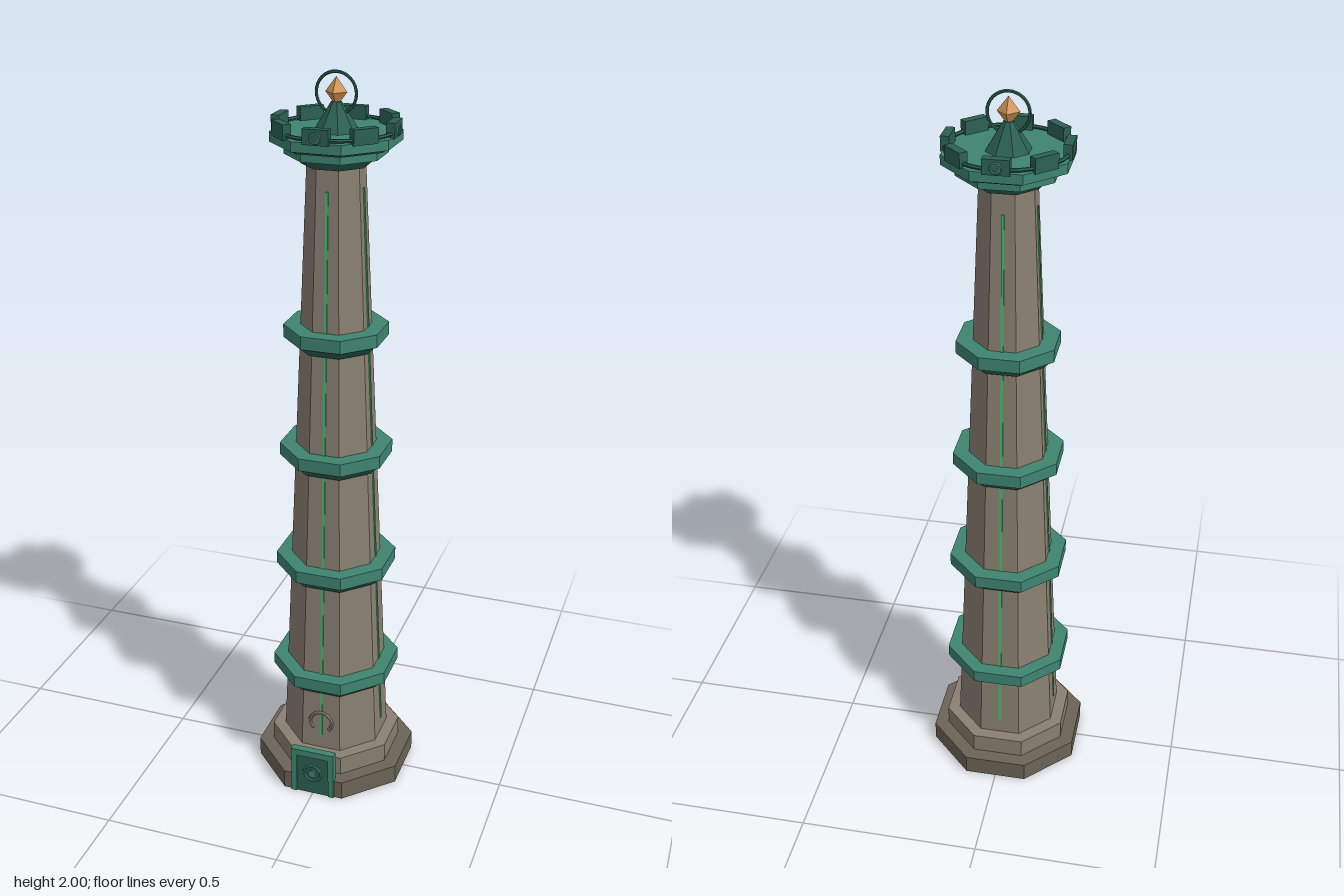
import * as THREE from 'three';

const mat = (color) => new THREE.MeshStandardMaterial({ color, flatShading: true });
const stone = mat(0x8a8072), darkStone = mat(0x6b6356), teal = mat(0x3f8570);
const darkTeal = mat(0x2c6152), copper = mat(0xd79a5c), glow = mat(0x3fb86c);

function add(parent, name, geometry, material, x = 0, y = 0, z = 0) {
  const mesh = new THREE.Mesh(geometry, material);
  mesh.name = name;
  mesh.position.set(x, y, z);
  parent.add(mesh);
  return mesh;
}

// Octagonal frustum with a flat side to the front; a0 and a1 are the centre-to-flat distances
function octagon(parent, name, material, y0, y1, a0, a1 = a0) {
  const k = 1 / Math.cos(Math.PI / 8);
  const g = new THREE.CylinderGeometry(a1 * k, a0 * k, y1 - y0, 8);
  g.rotateY(Math.PI / 8);
  return add(parent, name, g, material, 0, (y0 + y1) / 2, 0);
}

const shaftBottom = 0.11, shaftTop = 1.785;
const shaftRadius = (y) => THREE.MathUtils.mapLinear(y, shaftBottom, shaftTop, 0.138, 0.068);

export function createModel() {
  const model = new THREE.Group();
  model.name = 'tower';
  const tower = new THREE.Group();
  tower.name = 'towerBody';
  tower.position.z = -0.005;
  model.add(tower);

  // Stepped base and tapering shaft
  octagon(tower, 'basePlinth', darkStone, 0, 0.055, 0.209);
  octagon(tower, 'baseStep', stone, 0.055, 0.11, 0.171);
  octagon(tower, 'shaft', stone, shaftBottom, shaftTop, 0.138, 0.068);

  // Bands around the shaft, each with a sloped underside
  [[0.355, 0.165], [0.688, 0.153], [1.022, 0.14], [1.358, 0.127]].forEach(([top, a]) => {
    octagon(tower, 'band', teal, top - 0.035, top, a);
    octagon(tower, 'bandUnderside', darkTeal, top - 0.06, top - 0.035, a - 0.028, a - 0.006);
  });

  // Glowing inlay strips on the four main faces
  const y0 = 0.15, y1 = 1.72;
  const slope = Math.atan2(shaftRadius(y0) - shaftRadius(y1), y1 - y0);
  for (let i = 0; i < 4; i++) {
    const side = new THREE.Group();
    side.name = 'inlaySide';
    side.rotation.y = i * Math.PI / 2;
    const strip = add(side, 'inlayStrip', new THREE.BoxGeometry(0.007, y1 - y0, 0.006), glow,
      0, (y0 + y1) / 2, shaftRadius((y0 + y1) / 2));
    strip.rotation.x = -slope;
    tower.add(side);
  }

  // Flared stepped crown
  octagon(tower, 'crownCorbel', darkTeal, 1.775, 1.802, 0.08, 0.1);
  octagon(tower, 'crownStep', teal, 1.8, 1.825, 0.12);
  octagon(tower, 'crownUnderside', darkTeal, 1.822, 1.832, 0.135, 0.148);
  octagon(tower, 'crownPlatform', teal, 1.83, 1.855, 0.152);

  // Parapet rail, merlons and small studs on the main sides
  const rail = add(tower, 'parapetRail', new THREE.TorusGeometry(0.151, 0.005, 6, 32), darkTeal, 0, 1.862, 0);
  rail.rotation.x = Math.PI / 2;
  for (let i = 0; i < 8; i++) {
    const post = new THREE.Group();
    post.name = 'merlonPost';
    post.rotation.y = i * Math.PI / 4;
    add(post, 'merlon', new THREE.BoxGeometry(0.066, 0.038, 0.022), darkTeal, 0, 1.87, 0.147);
    if (i % 2 === 0) {
      add(post, 'merlonRing', new THREE.TorusGeometry(0.012, 0.003, 5, 12), teal, 0, 1.868, 0.158);
    }
    tower.add(post);
  }

  // Finial with a gem inside an upright hoop
  octagon(tower, 'finialRoof', darkTeal, 1.853, 1.925, 0.054, 0.012);
  const gem = add(tower, 'gem', new THREE.OctahedronGeometry(0.028), copper, 0, 1.948, 0);
  gem.scale.y = 1.3;
  add(tower, 'hoop', new THREE.TorusGeometry(0.051, 0.004, 6, 32), darkTeal, 0, 1.945, 0);

  // Door set into the base
  const door = new THREE.Group();
  door.name = 'door';
  model.add(door);
  add(door, 'doorBack', new THREE.BoxGeometry(0.09, 0.135, 0.012), darkTeal, 0, 0.075, 0.193);
  for (const s of [-1, 1]) {
    add(door, 'doorJamb', new THREE.BoxGeometry(0.016, 0.145, 0.02), teal, s * 0.055, 0.0725, 0.2);
  }
  add(door, 'doorLintel', new THREE.BoxGeometry(0.126, 0.02, 0.02), teal, 0, 0.135, 0.2);
  add(door, 'doorPanel', new THREE.BoxGeometry(0.094, 0.125, 0.012), darkTeal, 0, 0.0625, 0.2);
  add(door, 'doorRing', new THREE.TorusGeometry(0.025, 0.004, 6, 20), teal, 0, 0.07, 0.208);
  const knob = add(door, 'doorBoss', new THREE.CylinderGeometry(0.012, 0.012, 0.008, 8), teal, 0, 0.07, 0.208);
  knob.rotation.x = Math.PI / 2;

  // Open stone ring above the door
  const arc = add(tower, 'stoneArch', new THREE.TorusGeometry(0.032, 0.005, 6, 20, Math.PI * 1.5), stone,
    0, 0.195, shaftRadius(0.195) + 0.002);
  arc.rotation.z = -Math.PI / 4;

  return model;
}
